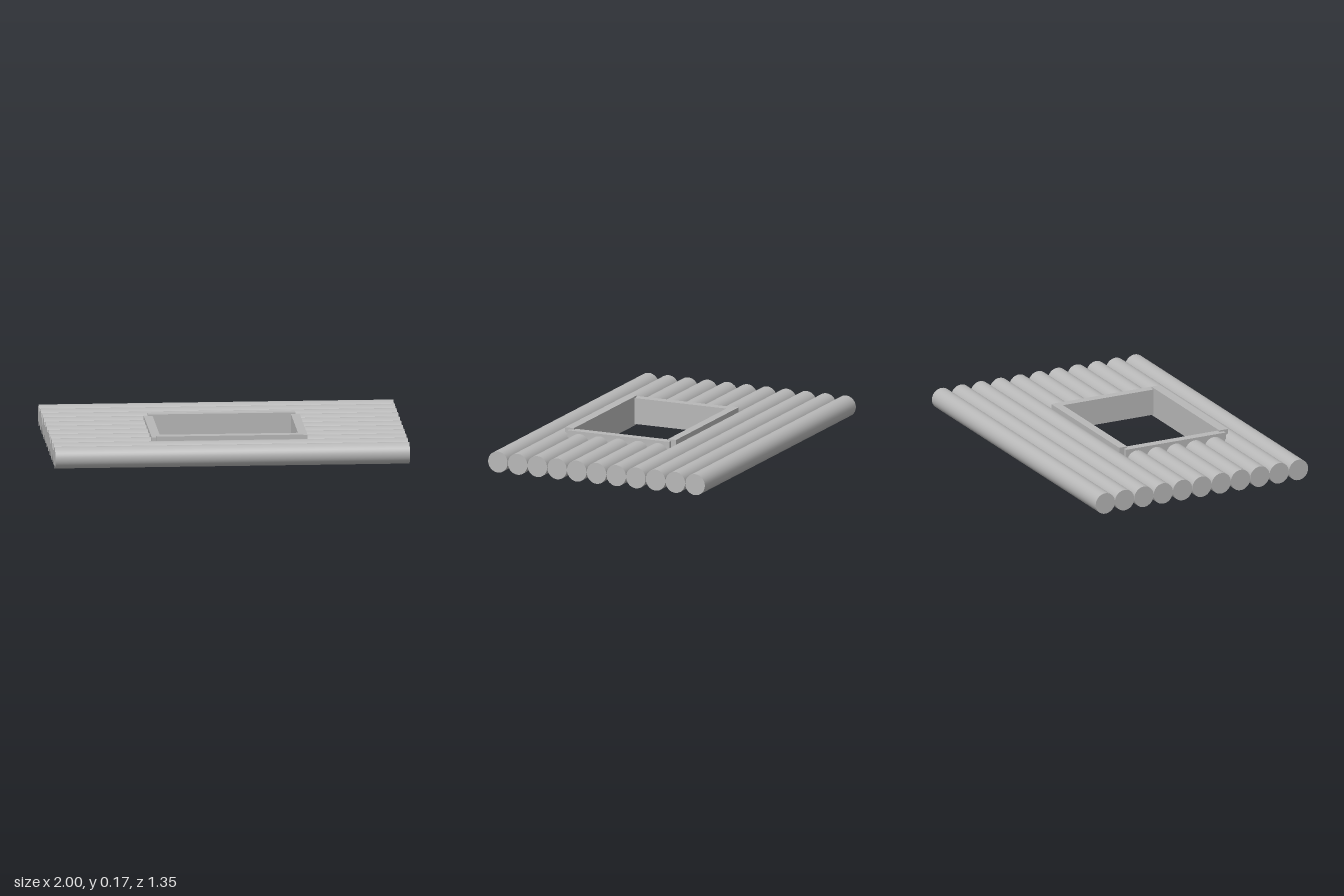
import * as THREE from 'three';

export function createModel() {
  const group = new THREE.Group();
  const grey = new THREE.MeshStandardMaterial({ color: 0xb8b8b8 });
  const MID_Y = 0.084, PITCH = 0.1225, RADIUS = 0.061;

  // A round log lying along x
  function addLog(name, x0, x1, z) {
    const geo = new THREE.CylinderGeometry(RADIUS, RADIUS, x1 - x0, 32);
    geo.rotateZ(Math.PI / 2);
    const log = new THREE.Mesh(geo, grey);
    log.name = name;
    log.position.set((x0 + x1) / 2, MID_Y, z);
    group.add(log);
  }

  // A squared frame board given by its extents
  function addBoard(name, x0, x1, height, z0, z1) {
    const board = new THREE.Mesh(new THREE.BoxGeometry(x1 - x0, height, z1 - z0), grey);
    board.name = name;
    board.position.set((x0 + x1) / 2, MID_Y, (z0 + z1) / 2);
    group.add(board);
  }

  // Eleven logs; the five crossing the opening are cut in two
  for (let i = -5; i <= 5; i++) {
    const z = i * PITCH;
    if (i >= -1 && i <= 3) {
      addLog('shortLogRight', -1, -0.43, z);
      addLog('shortLogLeft', 0.43, 1, z);
    } else {
      addLog('longLog', -1, 1, z);
    }
  }

  // Window frame: side posts, then the deeper head and sill
  addBoard('framePostRight', -0.44, -0.39, 0.15, -0.19, 0.442);
  addBoard('framePostLeft', 0.39, 0.44, 0.15, -0.19, 0.442);
  addBoard('frameHead', -0.415, 0.415, 0.168, -0.22, -0.17);
  addBoard('frameSill', -0.415, 0.415, 0.168, 0.415, 0.47);

  return group;
}
